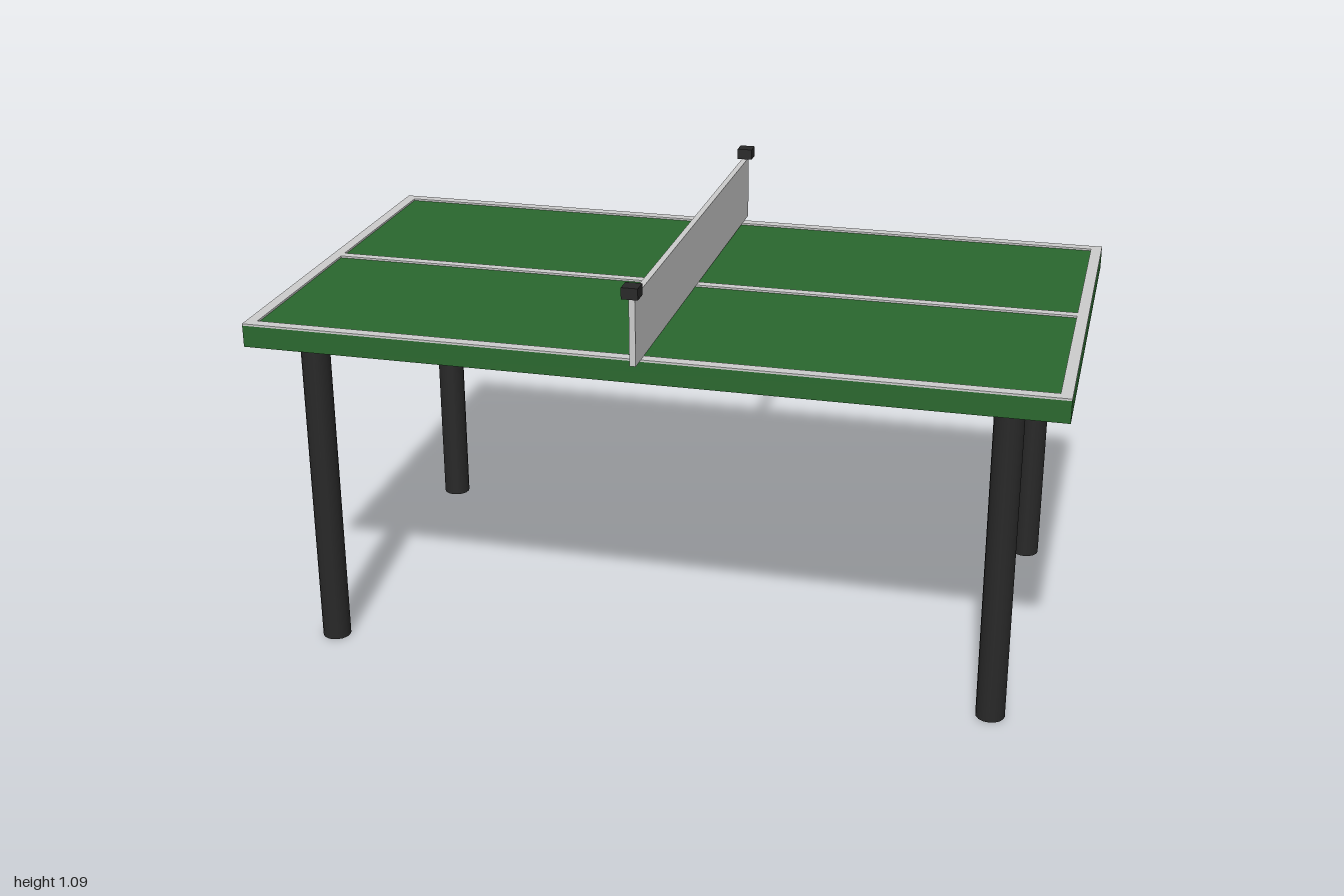
import * as THREE from 'three';

const green = new THREE.MeshStandardMaterial({ color: 0x2a672e });
const black = new THREE.MeshStandardMaterial({ color: 0x282828 });
const grey = new THREE.MeshStandardMaterial({ color: 0xcccccc });

const L = 2, W = 1.11;                 // table length and width
const BOTTOM = 0.83, TOP = 0.885;      // tabletop underside and surface
const LINE = 0.005, SURFACE = TOP + LINE;

export function createModel() {
  const model = new THREE.Group();

  const add = (name, geometry, material, x, y, z) => {
    const mesh = new THREE.Mesh(geometry, material);
    mesh.name = name;
    mesh.position.set(x, y, z);
    model.add(mesh);
  };
  const box = (name, material, w, h, d, x, y, z) =>
    add(name, new THREE.BoxGeometry(w, h, d), material, x, y, z);

  // Tabletop slab
  box('tabletop', green, L, TOP - BOTTOM, W, 0, (TOP + BOTTOM) / 2, 0);

  // Raised border line as one frame
  const frame = new THREE.Shape();
  const rect = (path, w, d) => path.moveTo(-w, -d).lineTo(w, -d).lineTo(w, d).lineTo(-w, d).closePath();
  rect(frame, L / 2, W / 2);
  const hole = new THREE.Path();
  rect(hole, L / 2 - 0.028, W / 2 - 0.028);
  frame.holes.push(hole);
  const border = new THREE.ExtrudeGeometry(frame, { depth: LINE, bevelEnabled: false });
  border.rotateX(-Math.PI / 2);
  add('borderLine', border, grey, 0, TOP, 0);

  // Centre line between the two end borders
  box('centreLine', grey, L - 0.056, LINE, 0.025, 0, TOP + LINE / 2, 0);

  // Net across the middle, with a cap on each end
  box('net', grey, 0.015, 0.17, 1.2, 0, SURFACE + 0.085, 0);
  for (const side of [-1, 1]) {
    box(side > 0 ? 'frontNetCap' : 'backNetCap', black, 0.04, 0.028, 0.04, 0, 1.074, side * 0.6);
  }

  // Four round legs
  const leg = new THREE.CylinderGeometry(0.036, 0.036, BOTTOM, 16);
  for (const sx of [-1, 1]) {
    for (const sz of [-1, 1]) {
      const name = (sz > 0 ? 'front' : 'back') + (sx > 0 ? 'Left' : 'Right') + 'Leg';
      add(name, leg, black, sx * 0.857, BOTTOM / 2, sz * 0.458);
    }
  }

  return model;
}
